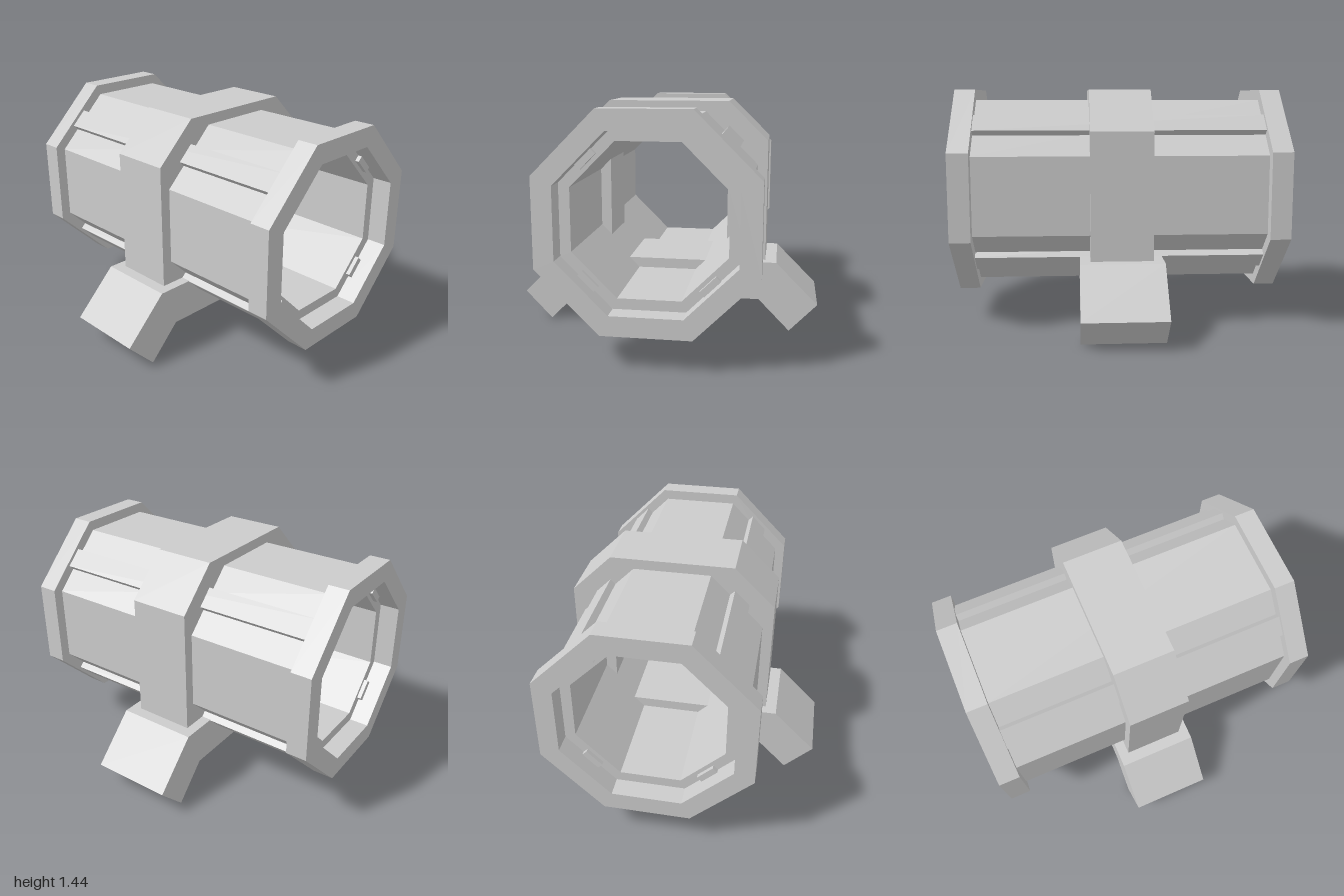
import * as THREE from 'three';

const material = new THREE.MeshStandardMaterial({ color: 0xcccccc, flatShading: true });
const AXIS_Y = 0.82; // height of the tube axis

// Octagon with its flats at distance a and half side length b
const octagon = (a, b) => [[a, b], [b, a], [-b, a], [-a, b], [-a, -b], [-b, -a], [b, -a], [a, -b]]
  .map(([z, y]) => new THREE.Vector2(z, y + AXIS_Y));

// Mirrors half a symmetric outline (ordered from +z side) to the other side
const mirrored = (half) => [...half, ...half.slice().reverse().map(([z, y]) => [-z, y])]
  .map(([z, y]) => new THREE.Vector2(z, y));

// Extrudes a z-y outline along x, centred on x
function prism(name, outline, width, hole, x = 0) {
  const shape = new THREE.Shape(outline);
  if (hole) shape.holes.push(new THREE.Path(hole));
  const geometry = new THREE.ExtrudeGeometry(shape, { depth: width, bevelEnabled: false });
  geometry.translate(0, 0, -width / 2).rotateY(Math.PI / 2);
  const mesh = new THREE.Mesh(geometry, material);
  mesh.name = name;
  mesh.position.x = x;
  return mesh;
}

export function createModel() {
  const model = new THREE.Group();
  model.name = 'octagonalTubeOnStand';

  // Hollow body and the wider collars at its ends
  model.add(prism('tube', octagon(0.557, 0.234), 1.76, octagon(0.44, 0.182)));
  for (const side of [-1, 1]) {
    model.add(prism(side > 0 ? 'leftCollar' : 'rightCollar',
      octagon(0.62, 0.258), 0.125, octagon(0.503, 0.208), side * 0.9375));
  }

  // Long rails set into the four slanted faces
  for (let i = 0; i < 4; i++) {
    const angle = Math.PI / 4 + i * Math.PI / 2;
    const rail = new THREE.Mesh(new THREE.BoxGeometry(1.81, 0.137, 0.127), material);
    rail.name = 'rail';
    rail.position.set(0, AXIS_Y + 0.5325 * Math.cos(angle), 0.5325 * Math.sin(angle));
    rail.rotation.x = angle;
    model.add(rail);
  }

  // Chamfered arch around the middle
  model.add(prism('arch', mirrored([
    [0.375, 0.43], [0.62, 0.43], [0.62, 1.2], [0.375, 1.44],
  ]).concat([[-0.375, 1.2], [0.375, 1.2]].map(([z, y]) => new THREE.Vector2(z, y))), 0.37));

  // Base beam with two splayed feet
  model.add(prism('base', mirrored([
    [0.585, 0.2], [0.78, 0], [0.952, 0.18], [0.69, 0.443],
  ]), 0.495));

  return model;
}
